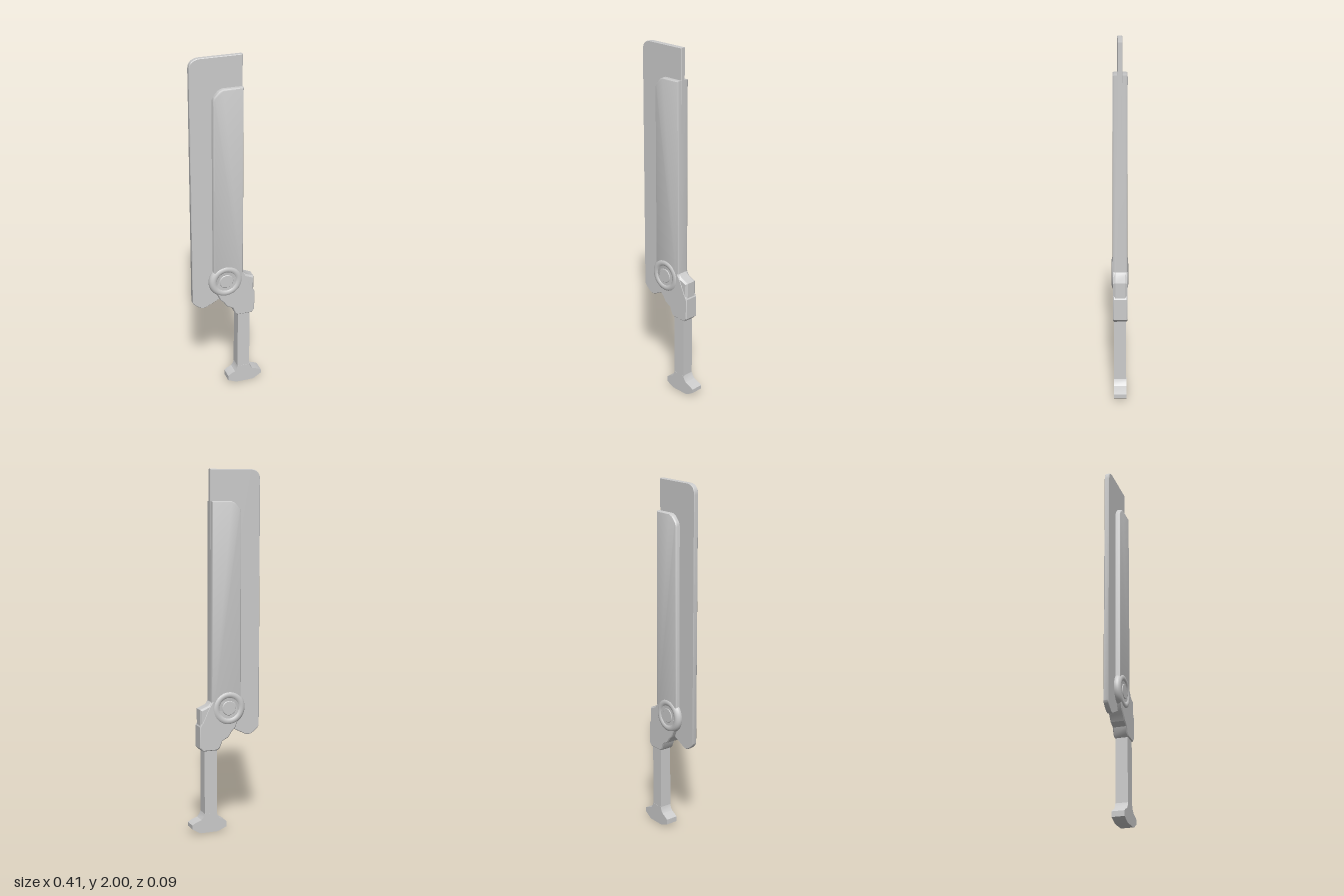
import * as THREE from 'three';
import { toCreasedNormals } from 'three/addons/utils/BufferGeometryUtils.js';

const material = new THREE.MeshStandardMaterial({ color: 0xcccccc });
const Z = -0.0015; // shared mid-plane

function add(group, name, geometry, x = 0, y = 0, z = 0) {
  const mesh = new THREE.Mesh(geometry, material);
  mesh.name = name;
  mesh.position.set(x, y, z);
  group.add(mesh);
  return mesh;
}

// Plate with a full outline, thickness 2 * half, and edges bevelled inwards
function plate(shape, half, bevel = 0, inset = bevel, segments = 1) {
  const geometry = new THREE.ExtrudeGeometry(shape, {
    depth: 2 * (half - bevel), curveSegments: 8, bevelEnabled: bevel > 0,
    bevelThickness: bevel, bevelSize: inset, bevelOffset: -inset, bevelSegments: segments,
  });
  geometry.translate(0, 0, bevel - half);
  return toCreasedNormals(geometry, 0.5);
}

const outline = (points) => new THREE.Shape(points.map(([x, y]) => new THREE.Vector2(x, y)));

export function createModel() {
  const model = new THREE.Group();
  model.name = 'foldingBlade';

  // Thin broad blade with one rounded top corner and a pointed heel
  const blade = new THREE.Shape();
  blade.moveTo(0.085, 0.66);
  blade.lineTo(0.085, 2);
  blade.lineTo(-0.15, 2);
  blade.quadraticCurveTo(-0.205, 1.995, -0.205, 1.945);
  blade.lineTo(-0.205, 0.585);
  blade.quadraticCurveTo(-0.2, 0.565, -0.16, 0.54);
  blade.quadraticCurveTo(-0.14, 0.53, -0.12, 0.54);
  blade.lineTo(-0.03, 0.585);
  add(model, 'blade', plate(blade, 0.0135, 0.003), 0, 0, Z);

  // Thick spine over the blade, rounded along its long edges
  const spine = outline([
    [0.088, 0.68], [0.084, 1.83], [-0.03, 1.83], [-0.052, 1.82],
    [-0.08, 1.79], [-0.086, 1.77], [-0.086, 0.68],
  ]);
  add(model, 'spine', plate(spine, 0.04, 0.012, 0.009, 3), 0, 0, Z);

  // Guard tapering from the pivot to the handle
  const guard = outline([
    [-0.08, 0.66], [-0.05, 0.585], [-0.03, 0.565], [-0.01, 0.535], [0.025, 0.517],
    [0.04, 0.48], [0.055, 0.467], [0.14, 0.467], [0.157, 0.485], [0.157, 0.605],
    [0.14, 0.635], [0.11, 0.7], [0.085, 0.742], [0.04, 0.75], [-0.05, 0.74],
  ]);
  add(model, 'guard', plate(guard, 0.04, 0.005), 0, 0, Z);

  // Thumb stop on the outer side of the guard
  const stop = outline([[0.06, 0.6], [0.153, 0.6], [0.153, 0.7], [0.105, 0.72], [0.085, 0.742], [0.06, 0.742]]);
  add(model, 'thumbStop', plate(stop, 0.038, 0.012, 0.008), 0, 0, Z);

  // Pivot: a ring and a bevelled cap on each face
  const pivot = new THREE.Group();
  pivot.name = 'pivot';
  pivot.position.set(-0.013, 0.7, Z);
  model.add(pivot);
  for (const side of [1, -1]) {
    add(pivot, 'pivotRing', new THREE.TorusGeometry(0.074, 0.025, 16, 40), 0, 0, side * 0.021);
    const cap = new THREE.LatheGeometry([
      new THREE.Vector2(0.045, 0), new THREE.Vector2(0.045, 0.036),
      new THREE.Vector2(0.038, 0.043), new THREE.Vector2(0, 0.043),
    ], 16);
    add(pivot, 'pivotCap', toCreasedNormals(cap, 0.5)).rotation.x = side * Math.PI / 2;
  }

  // Straight grip flaring into the pommel
  const grip = outline([[0.058, 0.09], [0.13, 0.09], [0.13, 0.48], [0.058, 0.48]]);
  add(model, 'grip', plate(grip, 0.034), 0, 0, Z);
  const pommel = outline([
    [0.04, 0.005], [0.055, 0], [0.15, 0], [0.165, 0.005], [0.205, 0.03], [0.205, 0.052],
    [0.185, 0.063], [0.15, 0.076], [0.137, 0.092], [0.13, 0.11],
    [0.058, 0.11], [0.053, 0.092], [0.042, 0.076], [0.015, 0.063], [0, 0.052], [0, 0.022],
  ]);
  add(model, 'pommel', plate(pommel, 0.035), 0, 0, Z);

  return model;
}
